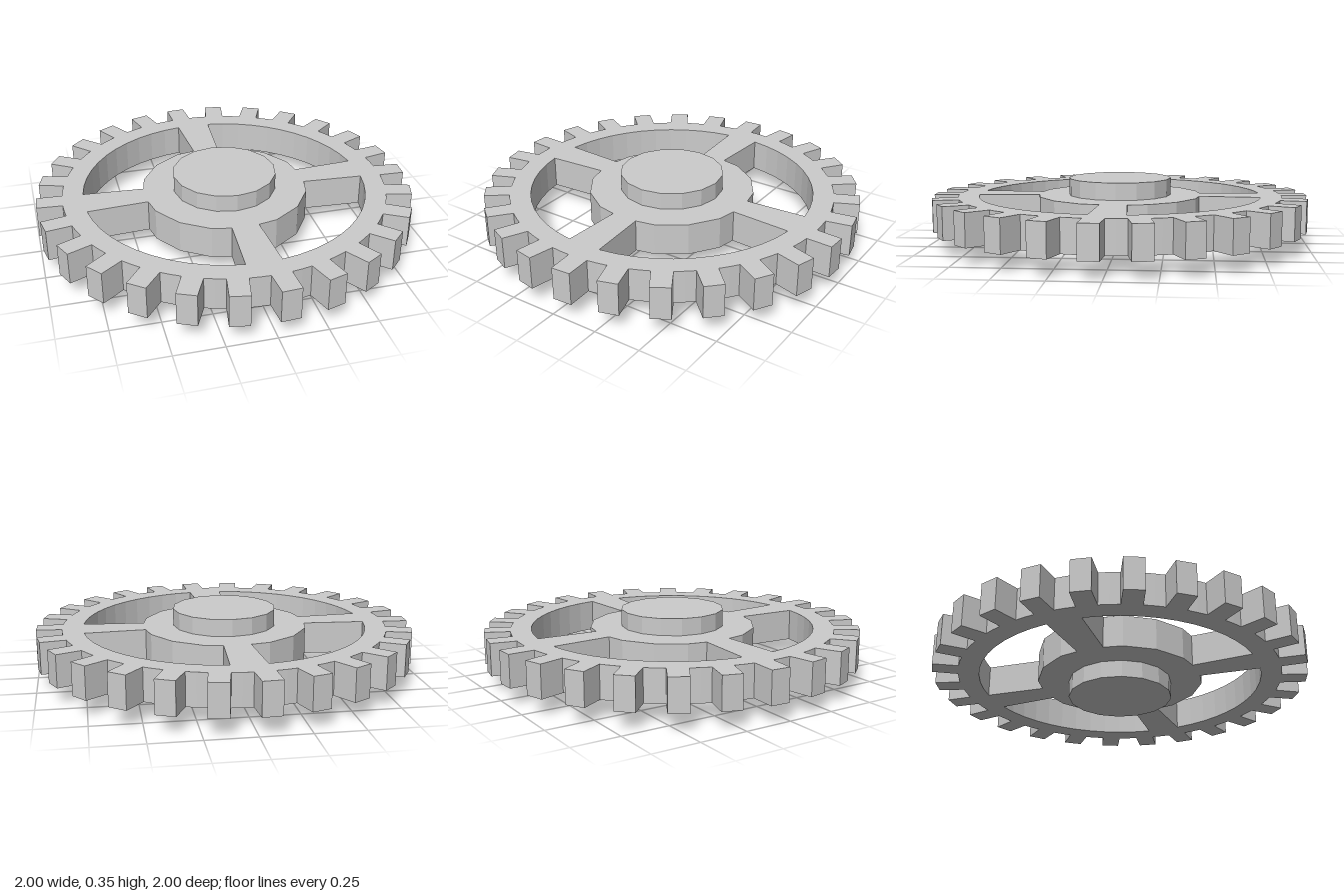
import * as THREE from 'three';

const TEETH = 26;
const STEP = (Math.PI * 2) / TEETH;
const HALF = STEP / 2;
const ROOT_R = 0.865, TIP_R = 1, RIM_R = 0.755, HUB_R = 0.442;
const WEB_BOTTOM = 0.09, WEB_TOP = 0.26, HEIGHT = 0.35;

const polar = (r, a) => new THREE.Vector2(r * Math.cos(a), r * Math.sin(a));

// Toothed outer outline: slightly tapered teeth, half a step wide
function toothOutline() {
  const pts = [];
  for (let i = 0; i < TEETH; i++) {
    const a = i * STEP;
    pts.push(
      polar(ROOT_R, a),
      polar(TIP_R, a + 0.01),
      polar(TIP_R, a + HALF - 0.01),
      polar(ROOT_R, a + HALF),
      polar(ROOT_R, a + HALF * 1.5)
    );
  }
  return pts;
}

// Window between two spokes: rim arc outside, sixteen-sided hub inside
function windowOutline(start) {
  const pts = [];
  for (let i = 1; i <= 12; i++) pts.push(polar(RIM_R, start + i * HALF));
  const corner = 0.163;
  pts.push(polar(0.434, start + Math.PI / 2 - corner));
  for (let i = 3; i >= 1; i--) pts.push(polar(HUB_R, start + (i * Math.PI) / 8));
  pts.push(polar(0.434, start + corner));
  return pts;
}

export function createModel() {
  const group = new THREE.Group();
  group.name = 'spokedGear';
  const material = new THREE.MeshStandardMaterial({ color: 0xcccccc, flatShading: true });

  // Wheel: teeth, rim, four spokes and hub plate in one extrusion
  const shape = new THREE.Shape(toothOutline());
  for (let q = 0; q < 4; q++) {
    shape.holes.push(new THREE.Path(windowOutline((q * Math.PI) / 2)));
  }
  const wheelGeometry = new THREE.ExtrudeGeometry(shape, {
    depth: WEB_TOP - WEB_BOTTOM,
    bevelEnabled: false,
  });
  wheelGeometry.rotateX(Math.PI / 2);
  wheelGeometry.translate(0, WEB_TOP, 0);
  const wheel = new THREE.Mesh(wheelGeometry, material);
  wheel.name = 'toothedWheel';
  group.add(wheel);

  // Solid boss standing out above and below the hub plate
  const boss = new THREE.Mesh(new THREE.CylinderGeometry(0.275, 0.275, HEIGHT, 16), material);
  boss.name = 'hubBoss';
  boss.position.y = HEIGHT / 2;
  group.add(boss);

  return group;
}
